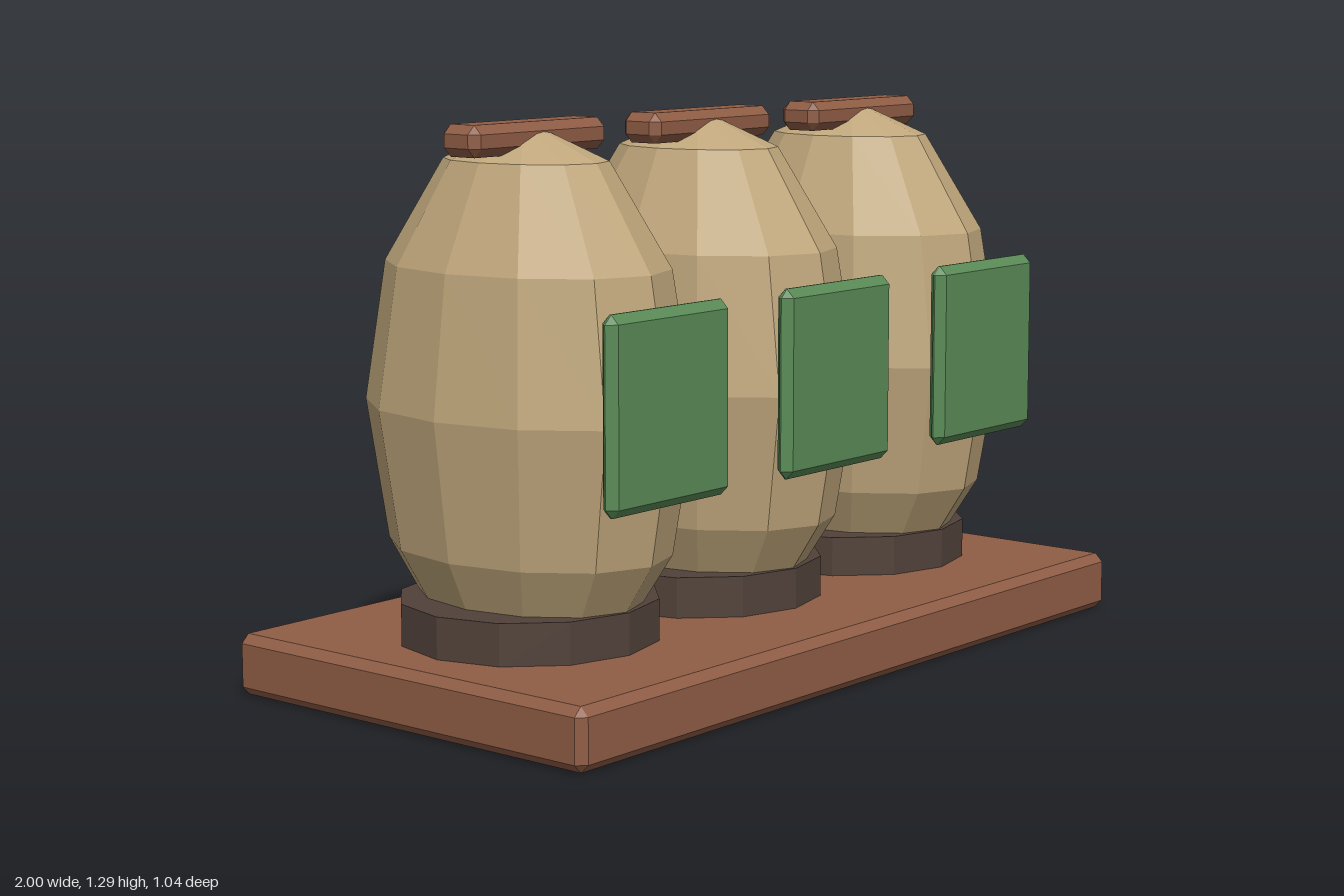
import * as THREE from 'three';
import { ConvexGeometry } from 'three/addons/geometries/ConvexGeometry.js';

const paint = (name, color) => Object.assign(new THREE.MeshStandardMaterial({ color, flatShading: true }), { name });

// Box with every edge cut by a flat chamfer c
function chamferBox(w, h, d, c) {
  const points = [];
  for (const x of [-1, 1]) for (const y of [-1, 1]) for (const z of [-1, 1]) {
    for (let axis = 0; axis < 3; axis++) {
      const [a, b, e] = [w, h, d].map((size, i) => size / 2 - (i === axis ? 0 : c));
      points.push(new THREE.Vector3(x * a, y * b, z * e));
    }
  }
  return new ConvexGeometry(points);
}

export function createModel() {
  const wood = paint('brown wood', 0x8f5d45);
  const sackcloth = paint('tan sackcloth', 0xbfa67b);
  const green = paint('green label', 0x598a56);
  const dark = paint('dark brown', 0x51423a);

  const model = new THREE.Group();
  model.name = 'sackRow';
  const add = (parent, name, geometry, material, y, z = 0) => {
    const mesh = new THREE.Mesh(geometry, material);
    mesh.name = name;
    mesh.position.set(0, y, z);
    parent.add(mesh);
  };

  // Plank under everything
  add(model, 'basePlank', chamferBox(2, 0.14, 1.04, 0.02), wood, 0.07);

  // Shared shapes for the three sacks
  const ring = new THREE.CylinderGeometry(0.295, 0.295, 0.1, 12);
  const body = new THREE.SphereGeometry(1, 12, 6).scale(0.295, 0.63, 0.415);
  const label = chamferBox(0.4, 0.43, 0.044, 0.02);
  const bar = chamferBox(0.434, 0.07, 0.11, 0.02);

  ['right', 'middle', 'left'].forEach((side, i) => {
    const sack = new THREE.Group();
    sack.name = `${side}Sack`;
    sack.position.x = (i - 1) * 0.592;
    add(sack, 'footRing', ring, dark, 0.185);
    add(sack, 'sackBody', body, sackcloth, 0.66);
    add(sack, 'frontLabel', label, green, 0.698, 0.402);
    add(sack, 'topBar', bar, wood, 1.255);
    model.add(sack);
  });

  return model;
}
